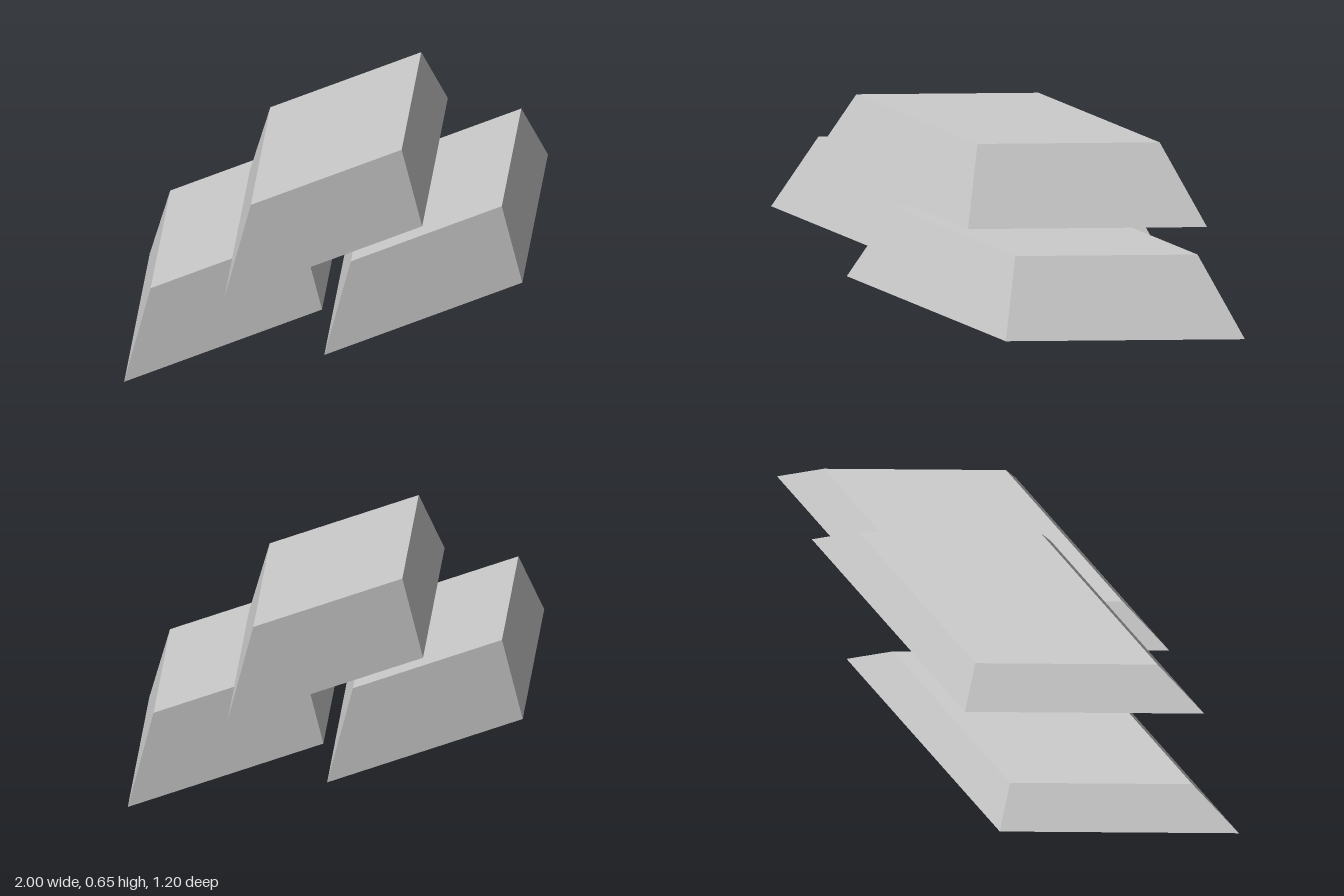
import * as THREE from 'three';

const HEIGHT = 0.323;   // height of one ingot
const LONG = 0.598;     // x and z reach of the long diagonal
const SHORT = 0.277;    // x and z reach of the short diagonal
const TAPER = 0.762;    // top size relative to the base
const OFFSET = 0.402;   // sideways shift of the lower ingots

// Tapered rhombic block standing on y = 0
function ingotGeometry() {
  const g = new THREE.CylinderGeometry(TAPER, 1, HEIGHT, 4).toNonIndexed();
  g.scale(SHORT * Math.SQRT2, 1, LONG * Math.SQRT2);
  g.rotateY(-Math.PI / 4);
  g.translate(0, HEIGHT / 2, 0);
  g.computeVertexNormals();
  return g;
}

export function createModel() {
  const group = new THREE.Group();
  group.name = 'ingotStack';
  const lightGrey = new THREE.MeshStandardMaterial({ color: 0xcccccc, flatShading: true });
  lightGrey.name = 'lightGrey';
  const geometry = ingotGeometry();

  // Two ingots side by side with a third resting on top
  const places = [
    ['lowerRightIngot', -OFFSET, 0],
    ['lowerLeftIngot', OFFSET, 0],
    ['upperIngot', 0, HEIGHT],
  ];
  for (const [name, x, y] of places) {
    const ingot = new THREE.Mesh(geometry, lightGrey);
    ingot.name = name;
    ingot.position.set(x, y, 0);
    group.add(ingot);
  }
  return group;
}
